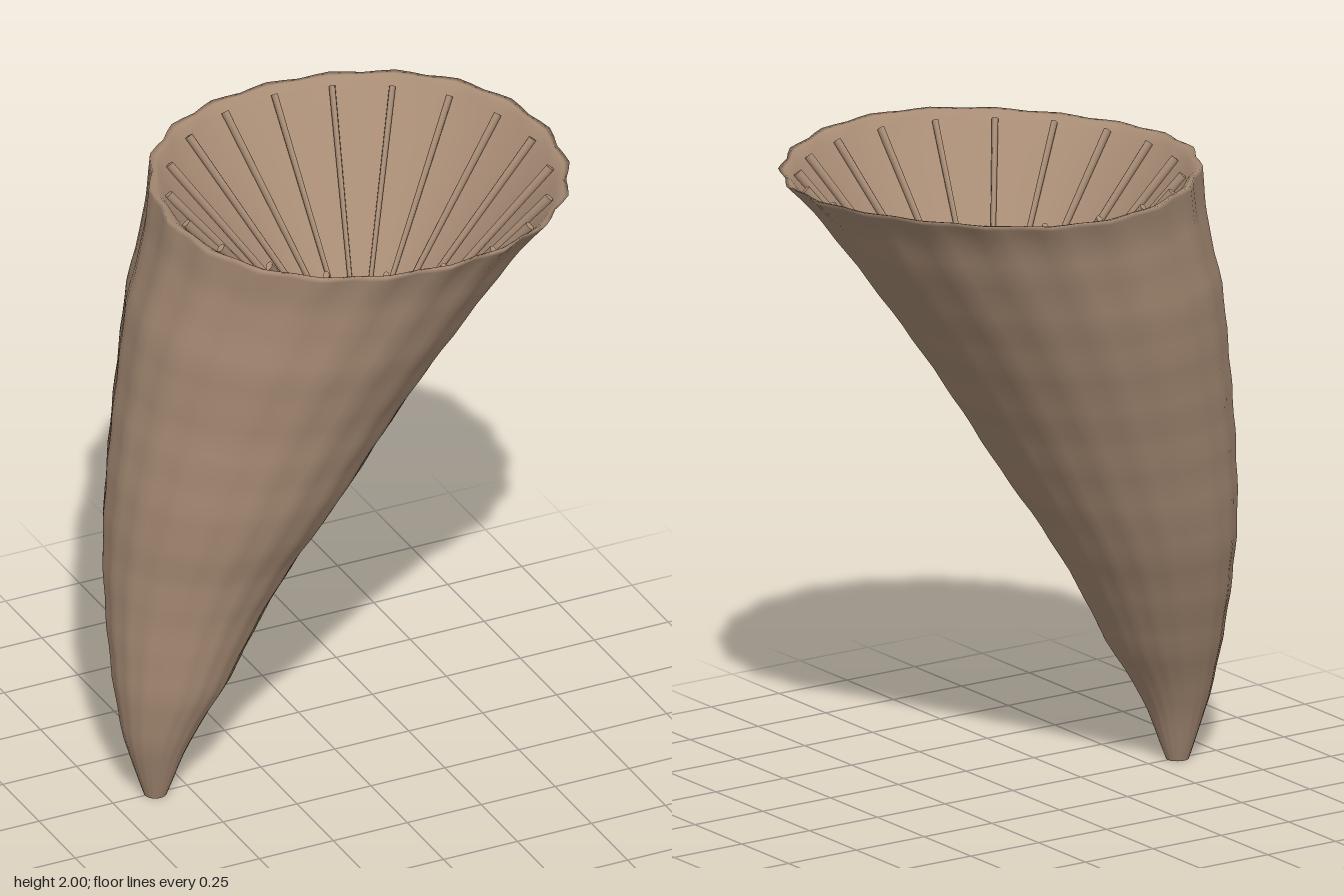
import * as THREE from 'three';

const material = new THREE.MeshStandardMaterial({ color: 0xa88c75, side: THREE.DoubleSide });
const SEPTA = 20, SEGMENTS = 80;
const RIM = { x: 0.083, z: 0 };            // centre of the open cup
const FLOOR = { r: 0.065, y: 1.33 }, EDGE = { r: 0.595, y: 1.96 };

// Rippled height of the rim
const rimWave = (a) => -0.01 * Math.sin(3 * a);

// Smooth skin through rings of { y, x, z, r, rib, wave }
function loft(rings) {
  const pos = [], index = [];
  for (const { y, x, z, r, rib, wave } of rings) {
    for (let j = 0; j < SEGMENTS; j++) {
      const a = (j / SEGMENTS) * Math.PI * 2;
      const rad = r * (1 - rib * (1 - Math.cos(SEPTA * a)));
      pos.push(x + rad * Math.cos(a), y + wave * rimWave(a), z + rad * Math.sin(a));
    }
  }
  for (let i = 0; i < rings.length - 1; i++) {
    for (let j = 0; j < SEGMENTS; j++) {
      const k = (j + 1) % SEGMENTS;
      const a = i * SEGMENTS + j, b = i * SEGMENTS + k;
      const c = a + SEGMENTS, d = b + SEGMENTS;
      index.push(a, c, b, b, c, d);
    }
  }
  const geo = new THREE.BufferGeometry();
  geo.setAttribute('position', new THREE.Float32BufferAttribute(pos, 3));
  geo.setIndex(index);
  geo.computeVertexNormals();
  return geo;
}

// Curved horn: [y, centre x, centre z, radius]
const HORN = [
  [0, -0.607, 0, 0.035], [0.2, -0.598, 0, 0.105], [0.4, -0.547, -0.012, 0.181],
  [0.6, -0.492, -0.035, 0.241], [0.8, -0.426, -0.048, 0.304], [1, -0.352, -0.04, 0.367],
  [1.2, -0.275, -0.04, 0.42], [1.4, -0.192, -0.04, 0.473], [1.6, -0.107, -0.03, 0.53],
  [1.8, -0.008, -0.017, 0.578], [1.92, 0.045, -0.006, 0.615], [1.99, RIM.x, RIM.z, 0.645],
];

function shellRings() {
  const centre = new THREE.CatmullRomCurve3(HORN.map(([y, x, z]) => new THREE.Vector3(x, y, z)));
  const radius = new THREE.CatmullRomCurve3(HORN.map(([y, , , r]) => new THREE.Vector3(r, y, 0)));
  const rings = [], n = 44;
  for (let i = 0; i <= n; i++) {
    const p = centre.getPoint(i / n);
    const growth = 0.0018 * Math.sin(p.y * 36) * Math.min(1, p.y * 3) * Math.min(1, (1.99 - p.y) * 5);
    const top = THREE.MathUtils.smoothstep(p.y, 1.7, 1.99);
    rings.push({
      y: p.y, x: p.x, z: p.z, r: radius.getPoint(i / n).x + growth,
      rib: 0.008 + 0.005 * top, wave: top,
    });
  }
  // Lip rolling into the conical cup, then the flat floor
  const inner = [[0.628, 1.987, 0.009, 1], [0.612, 1.976, 0.005, 0.8], [EDGE.r, EDGE.y, 0, 0.4]];
  for (let i = 1; i <= 10; i++) {
    const t = i / 10;
    inner.push([THREE.MathUtils.lerp(EDGE.r, FLOOR.r, t), THREE.MathUtils.lerp(EDGE.y, FLOOR.y, t), 0, 0]);
  }
  inner.push([0.055, FLOOR.y, 0, 0], [0.0001, FLOOR.y, 0, 0]);
  for (const [r, y, rib, wave] of inner) rings.push({ y, x: RIM.x, z: RIM.z, r, rib, wave });
  return rings;
}

export function createModel() {
  const model = new THREE.Group();
  model.name = 'hornCoral';

  const shell = new THREE.Mesh(loft(shellRings()), material);
  shell.name = 'shell';
  model.add(shell);

  // Blunt closed tip
  const tip = new THREE.Mesh(new THREE.CircleGeometry(0.035, 32), material);
  tip.name = 'tip';
  tip.rotation.x = Math.PI / 2;
  tip.position.set(HORN[0][1], 0, 0);
  model.add(tip);

  // Thin rounded ridges radiating up the wall of the cup, narrower at the floor
  const septa = new THREE.Group();
  septa.name = 'septa';
  septa.position.set(RIM.x, 0, RIM.z);
  const run = EDGE.r - FLOOR.r, rise = EDGE.y - FLOOR.y;
  const ridge = new THREE.CylinderGeometry(0.01, 0.006, Math.hypot(run, rise), 8);
  ridge.rotateZ(-Math.PI / 2);
  ridge.scale(1, 1.5, 1);
  ridge.translate(0, 0.012, 0);
  ridge.rotateZ(Math.atan2(rise, run));
  ridge.translate((EDGE.r + FLOOR.r) / 2, (EDGE.y + FLOOR.y) / 2, 0);
  for (let i = 0; i < SEPTA; i++) {
    const septum = new THREE.Mesh(ridge, material);
    septum.name = 'septum';
    septum.rotation.y = (i / SEPTA) * Math.PI * 2;
    septa.add(septum);
  }
  model.add(septa);
  return model;
}
